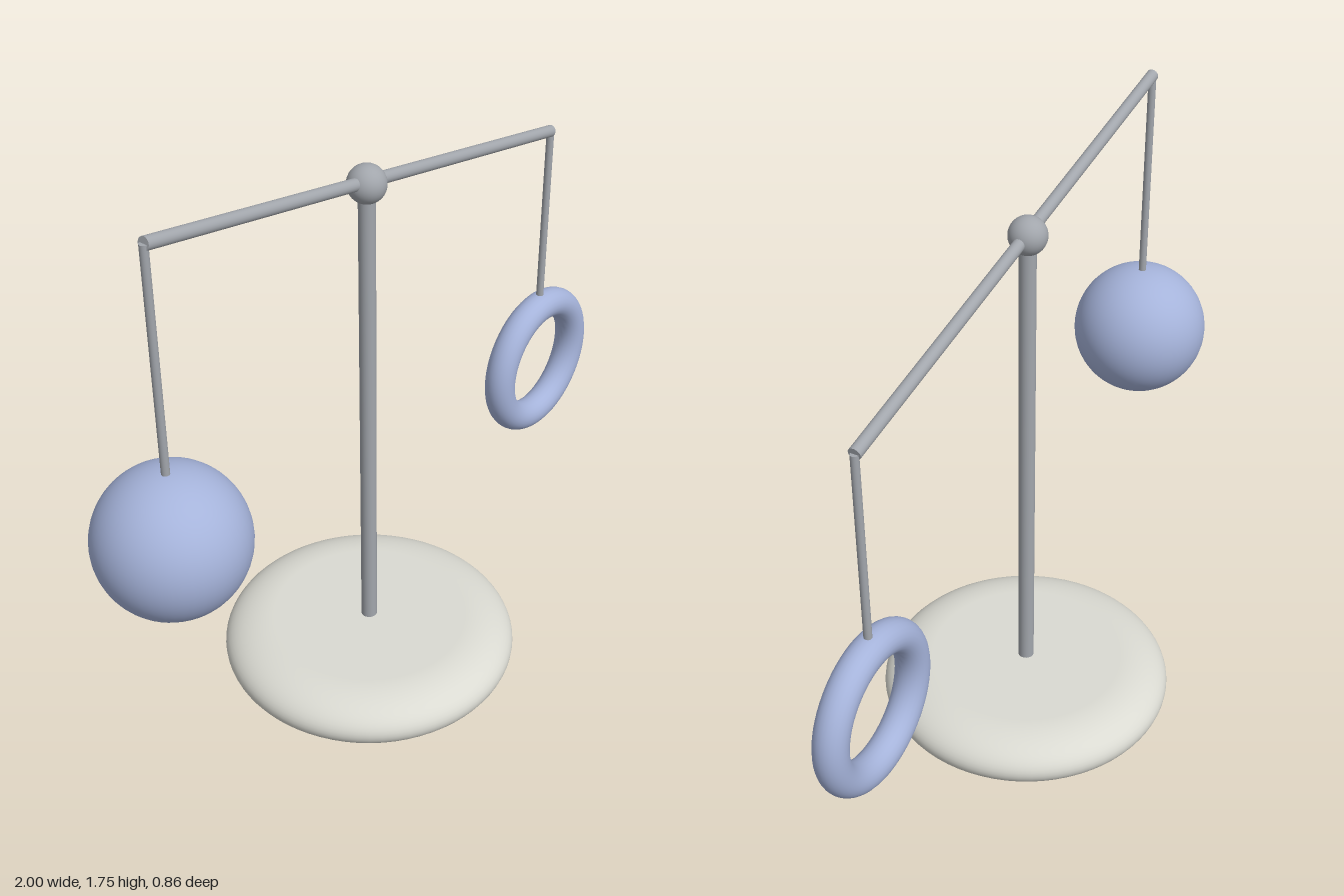
import * as THREE from 'three';

const blue = new THREE.MeshStandardMaterial({ name: 'periwinkle blue', color: 0xa5b3da });
const metal = new THREE.MeshStandardMaterial({ name: 'metal grey', color: 0xa2a6ac });
const stone = new THREE.MeshStandardMaterial({ name: 'stone white', color: 0xdadad2 });

export function createModel() {
  const model = new THREE.Group();
  model.name = 'balanceMobile';

  const add = (name, geometry, material, x, y) => {
    const mesh = new THREE.Mesh(geometry, material);
    mesh.name = name;
    mesh.position.set(x, y, 0);
    model.add(mesh);
    return mesh;
  };

  // Round rod between two points in the z = 0 plane
  const rod = (name, radius, x0, y0, x1, y1) => {
    const length = Math.hypot(x1 - x0, y1 - y0);
    const geometry = new THREE.CylinderGeometry(radius, radius, length, 24);
    const mesh = add(name, geometry, metal, (x0 + x1) / 2, (y0 + y1) / 2);
    mesh.rotation.z = Math.atan2(x0 - x1, y1 - y0);
  };

  const poleX = -0.057;
  const pivotY = 1.585;

  // Pebble-like base: flat faces with a wide elliptical rim
  const halfHeight = 0.082, flatRadius = 0.285, rim = 0.145;
  const profile = [new THREE.Vector2(0, -halfHeight)];
  for (let i = 0; i <= 24; i++) {
    const a = -Math.PI / 2 + (Math.PI * i) / 24;
    profile.push(new THREE.Vector2(flatRadius + rim * Math.cos(a), halfHeight * Math.sin(a)));
  }
  profile.push(new THREE.Vector2(0, halfHeight));
  add('base', new THREE.LatheGeometry(profile, 72), stone, poleX, halfHeight);

  // Pole, pivot and tilted beam
  rod('pole', 0.023, poleX, 0.1, poleX, pivotY);
  add('pivotBall', new THREE.SphereGeometry(0.052, 32, 20), metal, poleX, pivotY);
  rod('beam', 0.017, -0.8, 1.737, 0.763, 1.428);

  // Hanging sphere on the raised arm
  rod('sphereHanger', 0.011, -0.8, 1.1, -0.8, 1.737);
  add('hangingSphere', new THREE.SphereGeometry(0.2, 48, 32), blue, -0.8, 0.922);

  // Hanging ring on the lowered arm
  rod('ringHanger', 0.011, 0.763, 0.86, 0.763, 1.428);
  add('hangingRing', new THREE.TorusGeometry(0.19, 0.046, 24, 64), blue, 0.763, 0.65);

  return model;
}
